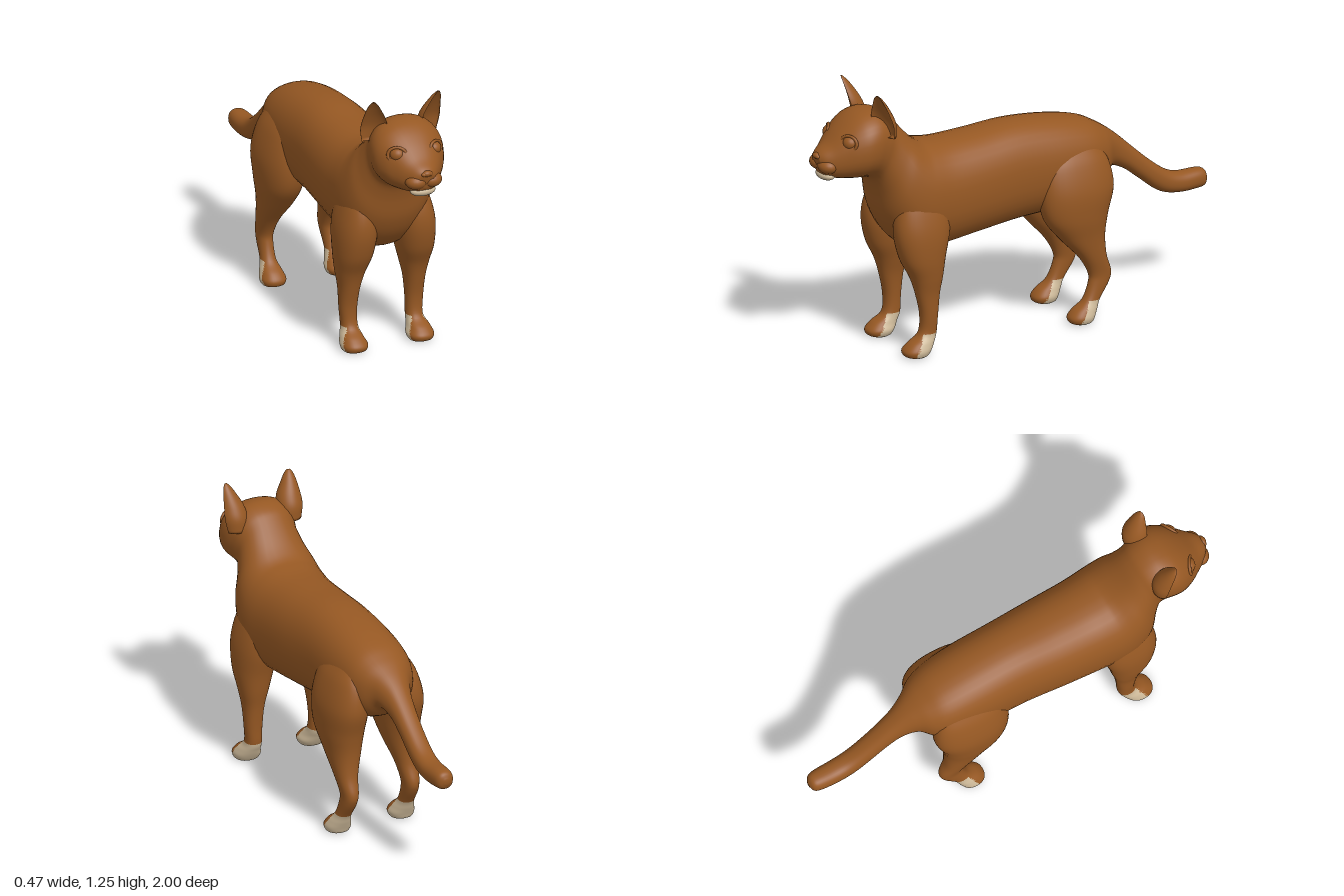
import * as THREE from 'three';

const V = (x, y, z) => new THREE.Vector3(x, y, z);
const fur = new THREE.MeshStandardMaterial({ color: 0x965823 });
fur.name = 'brownFur';
const cream = new THREE.MeshStandardMaterial({ color: 0xccb898 });
cream.name = 'creamFur';

// Slightly squared ellipse, and a crescent for the hollow ears
const soft = (t, p = 0.88) => [Math.cos(t), Math.sin(t)].map(k => Math.sign(k) * Math.abs(k) ** p);
const crescent = t => [Math.cos(t), Math.sin(t) > 0 ? Math.sin(t) : -0.5 * Math.sin(t)];

// Smooth skin over cross-sections [centre, u, v]; isCream(p) picks painted faces
function loft(name, sections, { ring = soft, steps = 5, sides = 36, isCream } = {}) {
  const curves = [0, 1, 2].map(k =>
    new THREE.CatmullRomCurve3(sections.map(s => s[k]), false, 'catmullrom', 0.5));
  const rows = (sections.length - 1) * steps;
  const pts = [];
  for (let i = 0; i <= rows; i++) {
    const [c, u, v] = curves.map(k => k.getPoint(i / rows));
    for (let j = 0; j < sides; j++) {
      const [a, b] = ring(j / sides * Math.PI * 2);
      pts.push(c.clone().addScaledVector(u, a).addScaledVector(v, b));
    }
  }
  const first = pts.push(sections[0][0].clone()) - 1;
  const last = pts.push(sections.at(-1)[0].clone()) - 1;
  const lists = [[], []];
  const tri = (a, b, c) => {
    const mid = pts[a].clone().add(pts[b]).add(pts[c]).divideScalar(3);
    lists[isCream && isCream(mid) ? 1 : 0].push(a, b, c);
  };
  for (let j = 0; j < sides; j++) {
    const n = (j + 1) % sides;
    for (let i = 0; i < rows; i++) {
      const a = i * sides, b = a + sides;
      tri(a + j, a + n, b + j);
      tri(a + n, b + n, b + j);
    }
    tri(first, n, j);
    tri(last, rows * sides + j, rows * sides + n);
  }
  const geo = new THREE.BufferGeometry().setFromPoints(pts);
  geo.setIndex(lists.flat());
  geo.addGroup(0, lists[0].length, 0);
  geo.addGroup(lists[0].length, lists[1].length, 1);
  geo.computeVertexNormals();
  const mesh = new THREE.Mesh(geo, [fur, cream]);
  mesh.name = name;
  return mesh;
}

// Tail tip to nose: [zTop, yTop, zBottom, yBottom, halfWidth]
const BODY = [
  [-1, .512, -1, .488, .012], [-.985, .538, -.985, .462, .036], [-.95, .546, -.95, .455, .046],
  [-.86, .547, -.87, .452, .05], [-.79, .572, -.79, .464, .05], [-.7, .64, -.73, .495, .05],
  [-.6, .73, -.65, .56, .053], [-.54, .785, -.57, .62, .063], [-.49, .825, -.49, .645, .09],
  [-.43, .865, -.43, .59, .135], [-.35, .903, -.34, .55, .165], [-.2, .935, -.2, .51, .18],
  [0, .952, 0, .497, .183], [.2, .94, .2, .475, .195], [.36, .935, .4, .452, .203],
  [.45, .945, .53, .455, .21], [.49, .957, .62, .53, .205], [.53, .985, .675, .63, .19],
  [.57, 1.025, .7, .74, .163], [.62, 1.085, .72, .8, .146], [.66, 1.122, .745, .828, .152],
  [.72, 1.143, .78, .838, .164], [.78, 1.135, .82, .84, .163], [.83, 1.11, .87, .846, .143],
  [.88, 1.068, .91, .852, .113], [.93, 1.015, .94, .862, .084], [.97, .985, .962, .872, .058],
  [.99, .965, .975, .895, .032],
];
// Legs from the top down: [y, zBack, zFront, xInner, xOuter]
const FRONT_LEG = [
  [.78, .44, .6, .1, .17], [.66, .4, .65, .06, .212], [.56, .4, .66, .05, .232],
  [.45, .425, .635, .065, .232], [.36, .44, .59, .09, .22], [.28, .455, .565, .11, .206],
  [.18, .465, .545, .12, .2], [.1, .47, .553, .12, .195], [.06, .485, .605, .112, .21],
  [.03, .5, .632, .1, .22], [.008, .515, .627, .106, .215], [0, .53, .61, .115, .205],
];
const HIND_LEG = [
  [.82, -.36, -.16, .08, .15], [.74, -.42, -.1, .05, .2], [.62, -.44, -.08, .04, .234],
  [.5, -.41, -.1, .05, .232], [.4, -.395, -.175, .07, .215], [.3, -.4, -.268, .1, .2],
  [.22, -.425, -.315, .115, .187], [.17, -.413, -.315, .12, .186], [.1, -.365, -.285, .122, .19],
  [.06, -.348, -.235, .11, .205], [.03, -.335, -.212, .1, .215], [.008, -.325, -.216, .106, .21],
  [0, -.31, -.23, .115, .2],
];
// Ears from the base up: [y, x, z, halfWidth, depth]
const EAR = [
  [1.04, .128, .715, .058, .05], [1.1, .137, .725, .06, .06], [1.15, .141, .738, .052, .052],
  [1.2, .15, .752, .034, .034], [1.23, .155, .762, .02, .02], [1.246, .157, .766, .007, .007],
];

function leg(name, rows, side) {
  const toe = Math.max(...rows.slice(-4).map(r => r[2]));
  return loft(name, rows.map(([y, zb, zf, xi, xo]) => [
    V(side * (xi + xo) / 2, y, (zb + zf) / 2), V((xo - xi) / 2, 0, 0), V(0, 0, (zf - zb) / 2),
  ]), { steps: 6, isCream: p => p.y < .1 && p.z < toe - .04 - (p.y - .02) * .6 });
}

function ear(name, side) {
  const a = side * .4, c = Math.cos(a), s = Math.sin(a);
  return loft(name, EAR.map(([y, x, z, w, d]) => [
    V(side * x, y, z), V(c * w, 0, -s * w), V(-s * d, 0, -c * d),
  ]), { ring: crescent });
}

function ellipsoid(name, material, pos, scale) {
  const mesh = new THREE.Mesh(new THREE.SphereGeometry(1, 24, 16), material);
  mesh.name = name;
  mesh.position.set(...pos);
  mesh.scale.set(...scale);
  return mesh;
}

export function createModel() {
  const cat = new THREE.Group();
  cat.name = 'cat';

  // Tail, torso, neck and head in one skin, with a small belly patch
  cat.add(loft('bodyTailAndHead', BODY.map(([zt, yt, zb, yb, w]) => [
    V(0, (yt + yb) / 2, (zt + zb) / 2), V(w, 0, 0), V(0, (yt - yb) / 2, (zt - zb) / 2),
  ]), { isCream: p => p.y < .53 && Math.abs(p.x) < .05 && p.z > -.12 && p.z < .03 }));

  for (const side of [1, -1]) {
    const tag = side > 0 ? 'left' : 'right';
    cat.add(leg(tag + 'FrontLeg', FRONT_LEG, side), leg(tag + 'HindLeg', HIND_LEG, side));
    cat.add(ear(tag + 'Ear', side));

    // Eyeball with a rounded lid rim
    const eye = new THREE.Group();
    eye.name = tag + 'Eye';
    eye.position.set(side * .088, 1.025, .862);
    eye.rotation.set(-.15, side * .5, 0, 'YXZ');
    const lid = new THREE.Mesh(new THREE.TorusGeometry(.037, .007, 10, 32), fur);
    lid.name = 'eyelid';
    lid.scale.set(1.1, .9, 1);
    lid.position.z = .012;
    eye.add(ellipsoid('eyeball', fur, [0, 0, 0], [.035, .032, .033]), lid);
    cat.add(eye);

    // Cheek pad and nostril wing
    cat.add(ellipsoid(tag + 'MuzzlePad', fur, [side * .036, .918, .945], [.05, .035, .045]));
    cat.add(ellipsoid(tag + 'Nostril', fur, [side * .014, .96, .982], [.014, .01, .013]));
  }

  cat.add(ellipsoid('noseTip', fur, [0, .963, .983], [.022, .014, .016]));
  cat.add(ellipsoid('chin', cream, [0, .868, .937], [.06, .024, .036]));
  return cat;
}
